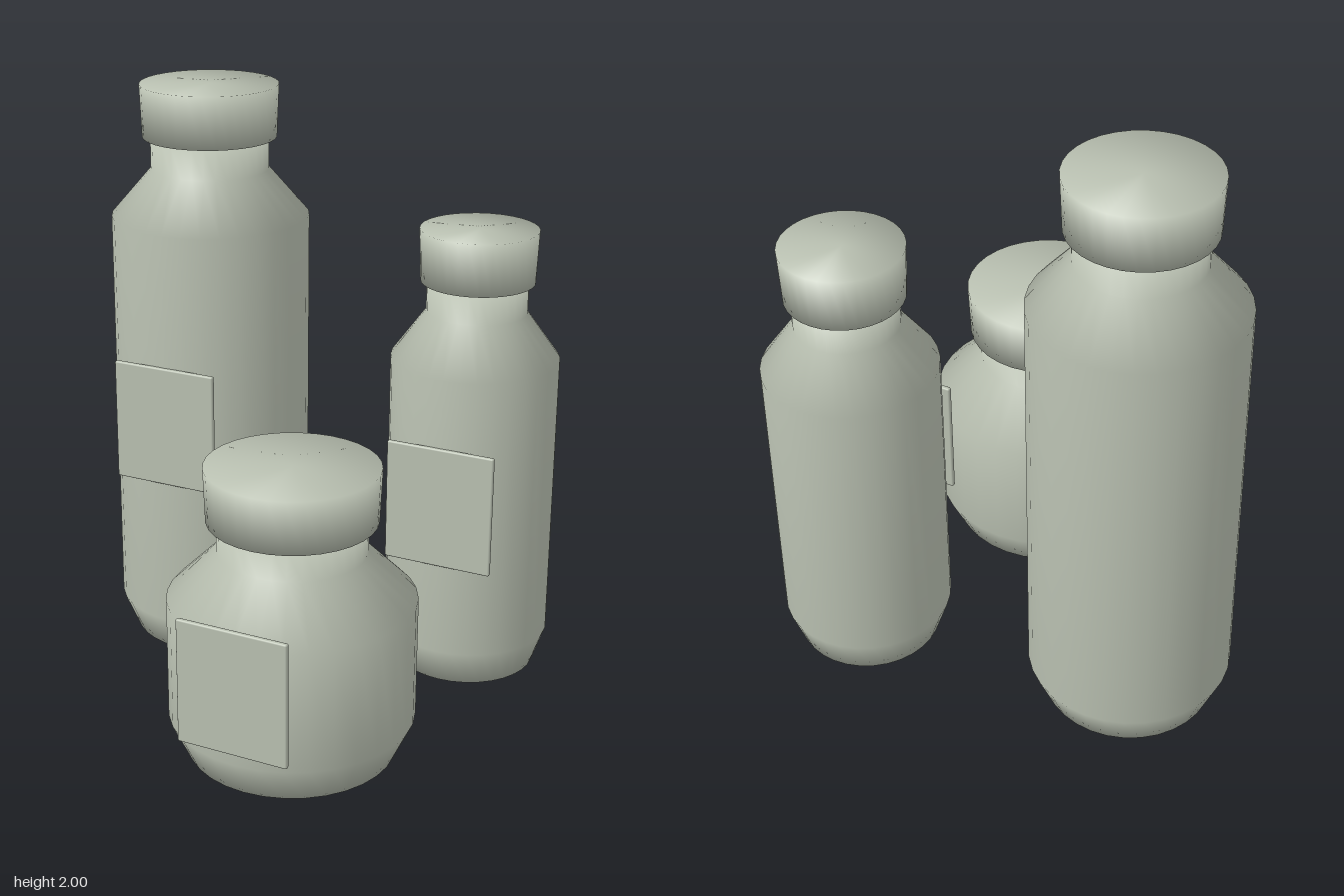
import * as THREE from 'three';
import { RoundedBoxGeometry } from 'three/addons/geometries/RoundedBoxGeometry.js';

const glaze = new THREE.MeshStandardMaterial({ color: 0xb8bfb0 });
glaze.name = 'sageGrey';

function lathe(name, points) {
  const geometry = new THREE.LatheGeometry(points.map(([r, y]) => new THREE.Vector2(r, y)), 32);
  const mesh = new THREE.Mesh(geometry, glaze);
  mesh.name = name;
  return mesh;
}

// One bottle: chamfered body, sloped shoulder, neck, flared cap and front label
function createBottle({ name, x, z, radius, base, neck, cap, shoulder, height, labelY, labelZ }) {
  const bottle = new THREE.Group();
  bottle.name = name;
  bottle.position.set(x, 0, z);

  const capBottom = height - 0.18;
  bottle.add(lathe('body', [
    [0, 0], [base, 0], [radius, 0.13], [radius, shoulder],
    [neck, shoulder + 0.16], [neck, capBottom], [0, capBottom],
  ]));
  bottle.add(lathe('cap', [
    [0, capBottom], [cap - 0.007, capBottom], [cap, height], [0, height],
  ]));

  const label = new THREE.Mesh(new RoundedBoxGeometry(0.38, 0.425, 0.018, 2, 0.006), glaze);
  label.name = 'label';
  label.position.set(0, labelY, labelZ - z);
  bottle.add(label);
  return bottle;
}

export function createModel() {
  const group = new THREE.Group();
  group.name = 'bottleSet';
  group.add(
    createBottle({
      name: 'tallBottle', x: -0.44, z: -0.333, radius: 0.341, base: 0.287, neck: 0.203,
      cap: 0.237, shoulder: 1.55, height: 2, labelY: 0.875, labelZ: 0.01,
    }),
    createBottle({
      name: 'mediumBottle', x: 0.49, z: -0.493, radius: 0.287, base: 0.243, neck: 0.171,
      cap: 0.2, shoulder: 1.125, height: 1.57, labelY: 0.673, labelZ: -0.203,
    }),
    createBottle({
      name: 'smallJar', x: 0.222, z: 0.36, radius: 0.403, base: 0.342, neck: 0.242,
      cap: 0.282, shoulder: 0.54, height: 0.985, labelY: 0.388, labelZ: 0.771,
    }),
  );
  return group;
}
